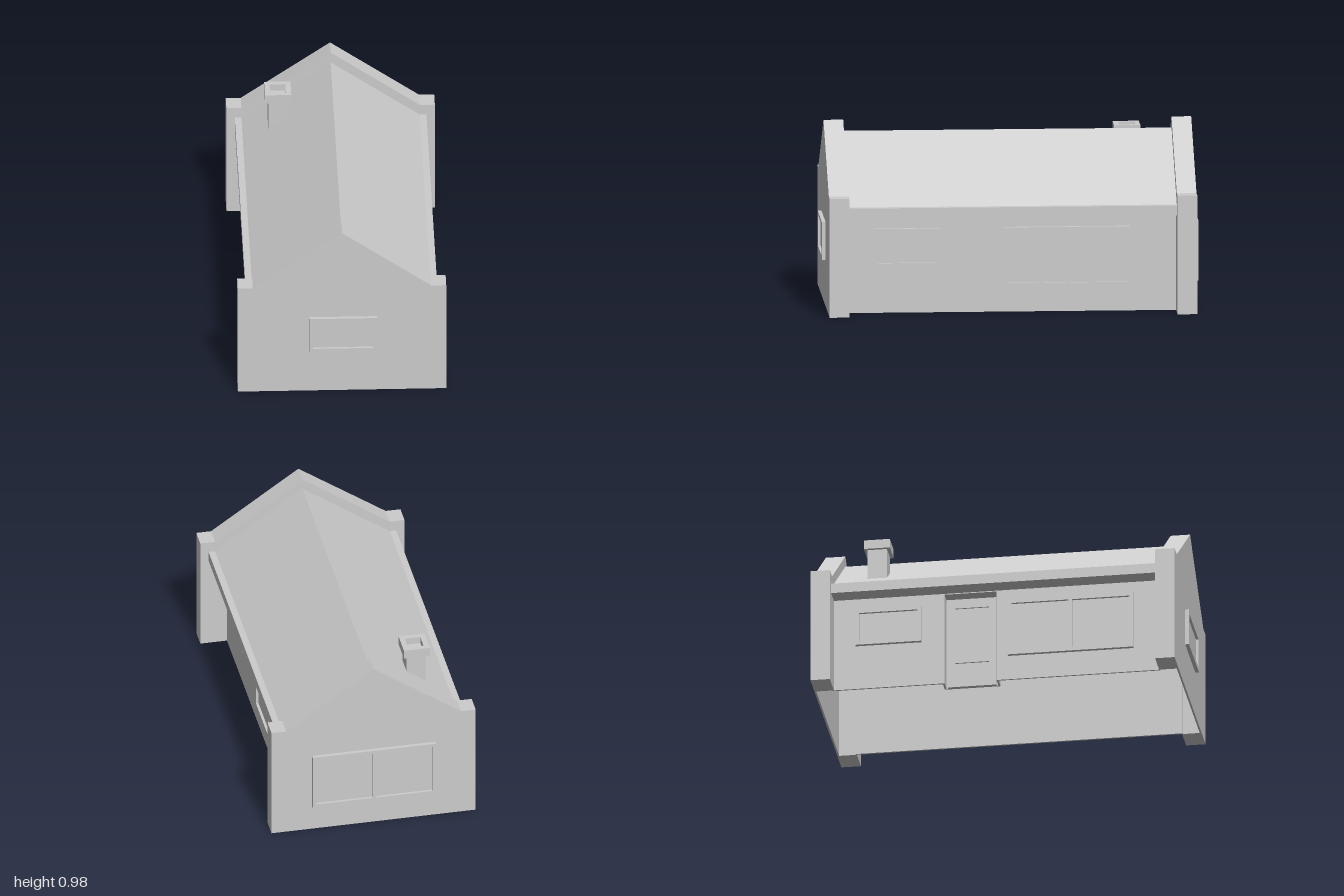
import * as THREE from 'three';

const plaster = new THREE.MeshStandardMaterial({ color: 0xcccccc });
plaster.name = 'pale grey';

const WALL = 0.41;   // outer face of the side walls
const EAVE = 0.525;  // underside of the eaves

function add(parent, name, geometry) {
  const mesh = new THREE.Mesh(geometry, plaster);
  mesh.name = name;
  parent.add(mesh);
  return mesh;
}

// Box given by its extents
function block(parent, name, x0, x1, y0, y1, z0, z1) {
  const g = new THREE.BoxGeometry(x1 - x0, y1 - y0, z1 - z0);
  g.translate((x0 + x1) / 2, (y0 + y1) / 2, (z0 + z1) / 2);
  return add(parent, name, g);
}

function polygon(points) {
  return new THREE.Shape(points.map(([x, y]) => new THREE.Vector2(x, y)));
}

// Right half of a profile, completed by its mirror image
function mirrored(half) {
  return [...half, ...half.filter(([x]) => x > 0).reverse().map(([x, y]) => [-x, y])];
}

function extrude(shape, z0, z1) {
  const g = new THREE.ExtrudeGeometry(shape, { depth: z1 - z0, bevelEnabled: false });
  return g.translate(0, 0, z0);
}

function rectangle(x0, x1, y0, y1) {
  return [[x0, y0], [x1, y0], [x1, y1], [x0, y1]];
}

// Flat frame around one or more rectangular openings, facing +z
function framed(group, w, h, openings, depth) {
  const shape = polygon(rectangle(-w / 2, w / 2, 0, h));
  for (const o of openings) {
    shape.holes.push(polygon(rectangle(...o)));
    block(group, 'pane', o[0], o[1], o[2], o[3], 0, 0.006);
  }
  add(group, 'frame', extrude(shape, 0, depth));
}

function windowUnit(w, h, panes) {
  const group = new THREE.Group();
  const edge = 0.02, bar = 0.02;
  const pw = (w - 2 * edge - (panes - 1) * bar) / panes;
  const openings = [];
  for (let i = 0; i < panes; i++) {
    const x = -w / 2 + edge + i * (pw + bar);
    openings.push([x, x + pw, edge, h - edge]);
  }
  framed(group, w, h, openings, 0.02);
  return group;
}

function place(parent, name, unit, x, y, z, turn) {
  unit.name = name;
  unit.position.set(x, y, z);
  unit.rotation.y = turn;
  parent.add(unit);
}

export function createModel() {
  const house = new THREE.Group();
  house.name = 'house';

  // Gable ends: a thin end wall with a deep rim forming piers and coping
  const outer = [[0.555, 0], [0.555, 0.64], [0.475, 0.64], [0, 0.975]];
  const inner = [[WALL, 0], [WALL, EAVE], [0, 0.81]];
  const endWall = polygon(mirrored(outer));
  const rim = polygon([...mirrored(outer), ...mirrored(inner).reverse()]);
  for (const [name, side] of [['front', 1], ['back', -1]]) {
    const gable = new THREE.Group();
    gable.name = name + 'Gable';
    add(gable, 'endWall', extrude(endWall, 0.97, 0.98));
    add(gable, 'pierAndCoping', extrude(rim, 0.875, 0.97));
    gable.rotation.y = side > 0 ? 0 : Math.PI;
    house.add(gable);
  }

  // Roof shell with gutters along both eaves
  const roofTop = [[0.51, EAVE], [0.51, 0.58], [0.475, 0.58], [0, 0.915]];
  const roofUnder = [[0.40, EAVE], [0, 0.807]];
  const roof = polygon([...mirrored(roofTop), ...mirrored(roofUnder).reverse()]);
  add(house, 'roof', extrude(roof, -0.875, 0.875));

  // Side walls, with a recessed porch on the right
  const t = 0.01, porch = -0.34;
  block(house, 'leftWall', WALL - t, WALL, 0, EAVE, -0.88, 0.88);
  block(house, 'rightFrontWall', -WALL, -WALL + t, 0, EAVE, 0, 0.88);
  block(house, 'rightBackWall', -WALL, -WALL + t, 0, EAVE, -0.88, -0.28);
  block(house, 'porchFrontReturn', -WALL + t, porch + t, 0, EAVE, 0, t);
  block(house, 'porchBackReturn', -WALL + t, porch + t, 0, EAVE, -0.28 - t, -0.28);
  block(house, 'porchCeiling', -WALL, porch + t, EAVE - 0.005, EAVE + 0.03, -0.28, 0);
  block(house, 'porchBackWall', porch, porch + t, 0, EAVE, -0.28, 0);

  // Door with a glazed upper part and a lower panel
  const door = new THREE.Group();
  framed(door, 0.26, 0.51, [[-0.09, 0.09, 0.17, 0.46], [-0.09, 0.09, 0.04, 0.14]], 0.015);
  place(house, 'door', door, porch, 0, -0.14, -Math.PI / 2);

  // Windows
  const q = Math.PI / 2;
  place(house, 'frontWindow', windowUnit(0.36, 0.205, 1), 0.005, 0.25, 0.98, 0);
  place(house, 'backWindow', windowUnit(0.67, 0.32, 2), 0, 0.145, -0.98, Math.PI);
  place(house, 'leftSmallWindow', windowUnit(0.355, 0.205, 1), WALL, 0.25, 0.558, q);
  place(house, 'leftLargeWindow', windowUnit(0.675, 0.32, 2), WALL, 0.137, -0.295, q);
  place(house, 'rightLargeWindow', windowUnit(0.675, 0.32, 2), -WALL, 0.137, 0.4, -q);
  place(house, 'rightSmallWindow', windowUnit(0.355, 0.205, 1), -WALL, 0.25, -0.58, -q);

  // Chimney: stack and hollow cap
  const chimney = new THREE.Group();
  chimney.name = 'chimney';
  block(chimney, 'stack', -0.052, 0.052, 0.62, 0.855, -0.052, 0.052);
  const cap = polygon(rectangle(-0.07, 0.07, -0.07, 0.07));
  cap.holes.push(polygon(rectangle(-0.042, 0.042, -0.042, 0.042)));
  add(chimney, 'cap', extrude(cap, 0, 0.05).rotateX(-q).translate(0, 0.843, 0));
  chimney.position.set(-0.289, 0, -0.652);
  house.add(chimney);

  return house;
}
